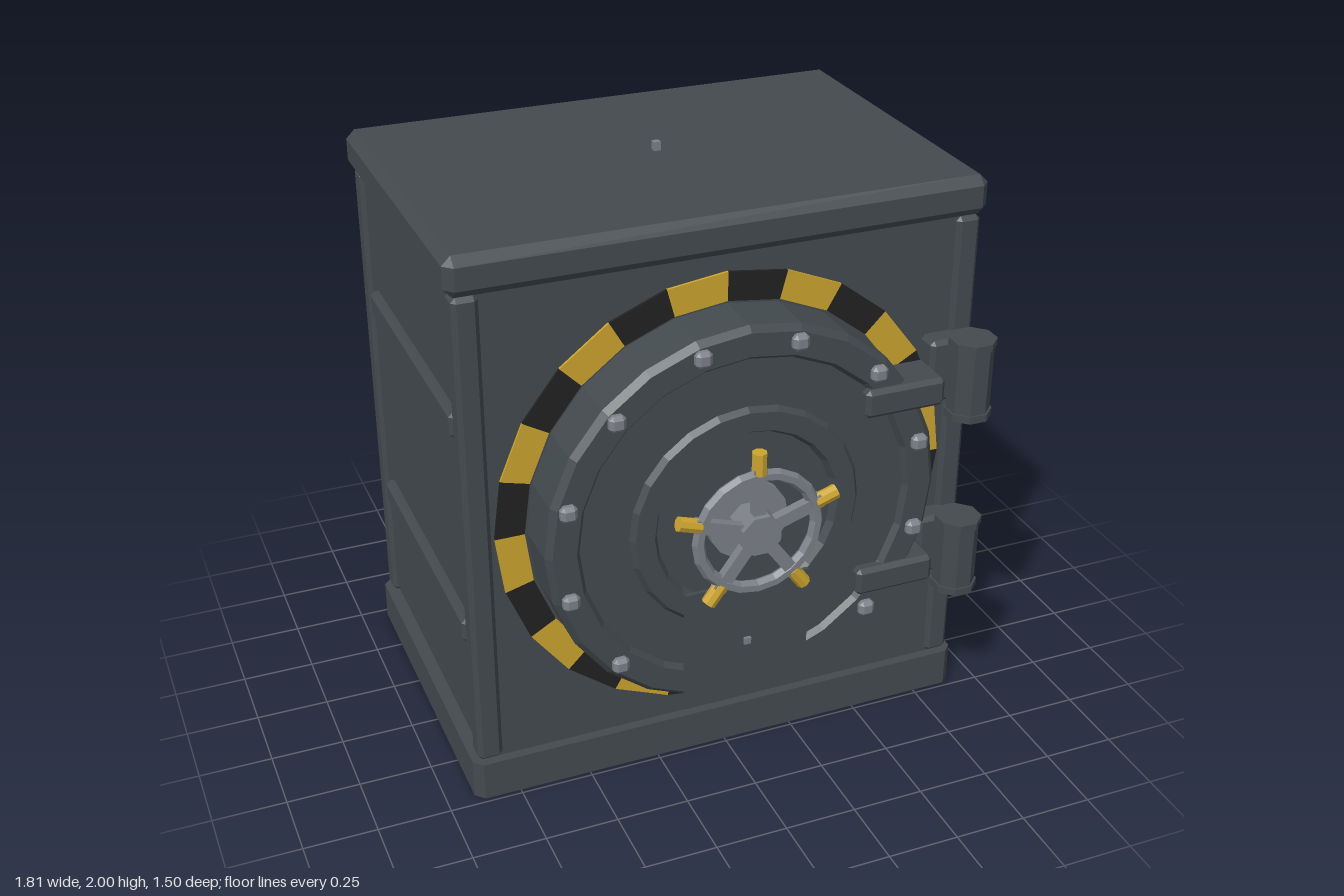
import * as THREE from 'three';
import { ConvexGeometry } from 'three/addons/geometries/ConvexGeometry.js';

const mat = (name, color) => {
  const m = new THREE.MeshStandardMaterial({ color });
  m.name = name;
  m.flatShading = true;
  return m;
};

// Box with chamfered edges; with uprightOnly just the four vertical edges are cut
function chamferBox(w, h, d, c, uprightOnly = false) {
  const pts = [];
  const x = w / 2, y = h / 2, z = d / 2;
  for (const i of [-1, 1]) for (const j of [-1, 1]) for (const k of [-1, 1]) {
    const add = (a, b, e) => pts.push(new THREE.Vector3(i * a, j * b, k * e));
    if (uprightOnly) {
      add(x, y, z - c);
      add(x - c, y, z);
    } else {
      add(x, y - c, z - c);
      add(x - c, y, z - c);
      add(x - c, y - c, z);
    }
  }
  return new ConvexGeometry(pts);
}

export function createModel() {
  const root = new THREE.Group();
  root.name = 'safe';
  const iron = mat('dark iron', 0x434a4e);
  const steel = mat('steel', 0x7c8087);
  const gold = mat('yellow', 0xcca42e);
  const black = mat('black', 0x222222);

  const add = (name, geo, material, x = 0, y = 0, z = 0, parent = root) => {
    const m = new THREE.Mesh(geo, material);
    m.name = name;
    m.position.set(x, y, z);
    parent.add(m);
    return m;
  };

  const midZ = -0.131, doorY = 0.988;

  // Cabinet
  add('body', new THREE.BoxGeometry(1.72, 1.76, 1.16), iron, 0, 0.99, midZ);
  add('base', chamferBox(1.81, 0.14, 1.228, 0.03, true), iron, 0, 0.07, midZ);
  add('topCap', chamferBox(1.81, 0.135, 1.228, 0.03), iron, 0, 1.9025, midZ);
  for (const sx of [-1, 1]) {
    for (const sz of [-1, 1])
      add('cornerPost', chamferBox(0.085, 1.69, 0.085, 0.015), iron, sx * 0.8425, 0.99, midZ + sz * 0.5575);
    for (const y of [0.61, 1.37])
      add('sideRib', chamferBox(0.06, 0.09, 1.0, 0.015), iron, sx * 0.86, y, -0.12);
  }
  add('topPin', new THREE.BoxGeometry(0.024, 0.05, 0.024), steel, 0, 1.975, -0.145);

  // Hazard ring on the cabinet front
  for (let k = 0; k < 24; k++) {
    const a = k * Math.PI / 12, b = a + Math.PI / 12;
    const s = new THREE.Shape([[0.69, a], [0.789, a], [0.789, b], [0.69, b]]
      .map(([r, t]) => new THREE.Vector2(r * Math.cos(t), r * Math.sin(t))));
    add('hazardStripe', new THREE.ExtrudeGeometry(s, { depth: 0.009, bevelEnabled: false }),
      k % 2 ? black : gold, 0, doorY, 0.449);
  }

  // Round stepped door
  const profile = [[0.68, 0.44], [0.68, 0.62], [0.66, 0.642], [0.58, 0.642], [0.565, 0.622],
    [0.4, 0.622], [0.385, 0.642], [0.32, 0.642], [0.305, 0.617], [0, 0.617]]
    .map(p => new THREE.Vector2(...p));
  add('door', new THREE.LatheGeometry(profile, 24).rotateX(Math.PI / 2), iron, 0, doorY, 0);
  for (let k = 0; k < 12; k++) {
    const a = (k + 0.5) * Math.PI / 6;
    if (k === 8 || k === 9) continue;
    add('doorBolt', chamferBox(0.056, 0.056, 0.04, 0.013), steel,
      0.627 * Math.cos(a), doorY + 0.627 * Math.sin(a), 0.648);
  }
  add('lowerPlate', new THREE.BoxGeometry(0.44, 0.45, 0.014), iron, 0, 0.53, 0.646);
  add('plateRivet', new THREE.BoxGeometry(0.024, 0.024, 0.012), steel, 0, 0.53, 0.657);

  // Hinges
  for (const y of [0.65, 1.323]) {
    const hinge = new THREE.Group();
    hinge.name = 'hinge';
    hinge.position.y = y;
    root.add(hinge);
    add('hingeMount', chamferBox(0.18, 0.225, 0.09, 0.015), iron, 0.79, 0, 0.485, hinge);
    const barrel = (name, r, h, yy) =>
      add(name, new THREE.CylinderGeometry(r, r, h, 8).rotateY(Math.PI / 8), iron, 0.816, yy, 0.587, hinge);
    barrel('hingeBarrel', 0.073, 0.26, 0);
    barrel('hingeCollar', 0.08, 0.026, 0.127);
    barrel('hingeCollar', 0.08, 0.026, -0.127);
    add('hingeArm', chamferBox(0.285, 0.1, 0.165, 0.015), iron, 0.5425, 0.002, 0.58, hinge);
  }

  // Hand wheel
  const wheel = new THREE.Group();
  wheel.name = 'handWheel';
  wheel.position.set(0, doorY, 0);
  root.add(wheel);
  const disc = (r, d, n) => new THREE.CylinderGeometry(r, r, d, n).rotateX(Math.PI / 2);
  add('flange', disc(0.138, 0.035, 16), steel, 0, 0, 0.63, wheel);
  add('hub', disc(0.072, 0.145, 8).rotateZ(Math.PI / 8), steel, 0, 0, 0.68, wheel);
  add('rim', new THREE.TorusGeometry(0.205, 0.022, 6, 20), steel, 0, 0, 0.718, wheel);
  for (let k = 0; k < 5; k++) {
    const arm = new THREE.Group();
    arm.name = 'spokeArm';
    arm.rotation.z = k * Math.PI * 0.4;
    wheel.add(arm);
    add('spoke', new THREE.BoxGeometry(0.044, 0.2, 0.032), steel, 0, 0.13, 0.718, arm);
    add('grip', new THREE.CylinderGeometry(0.025, 0.025, 0.078, 8), gold, 0, 0.248, 0.718, arm);
  }
  return root;
}
